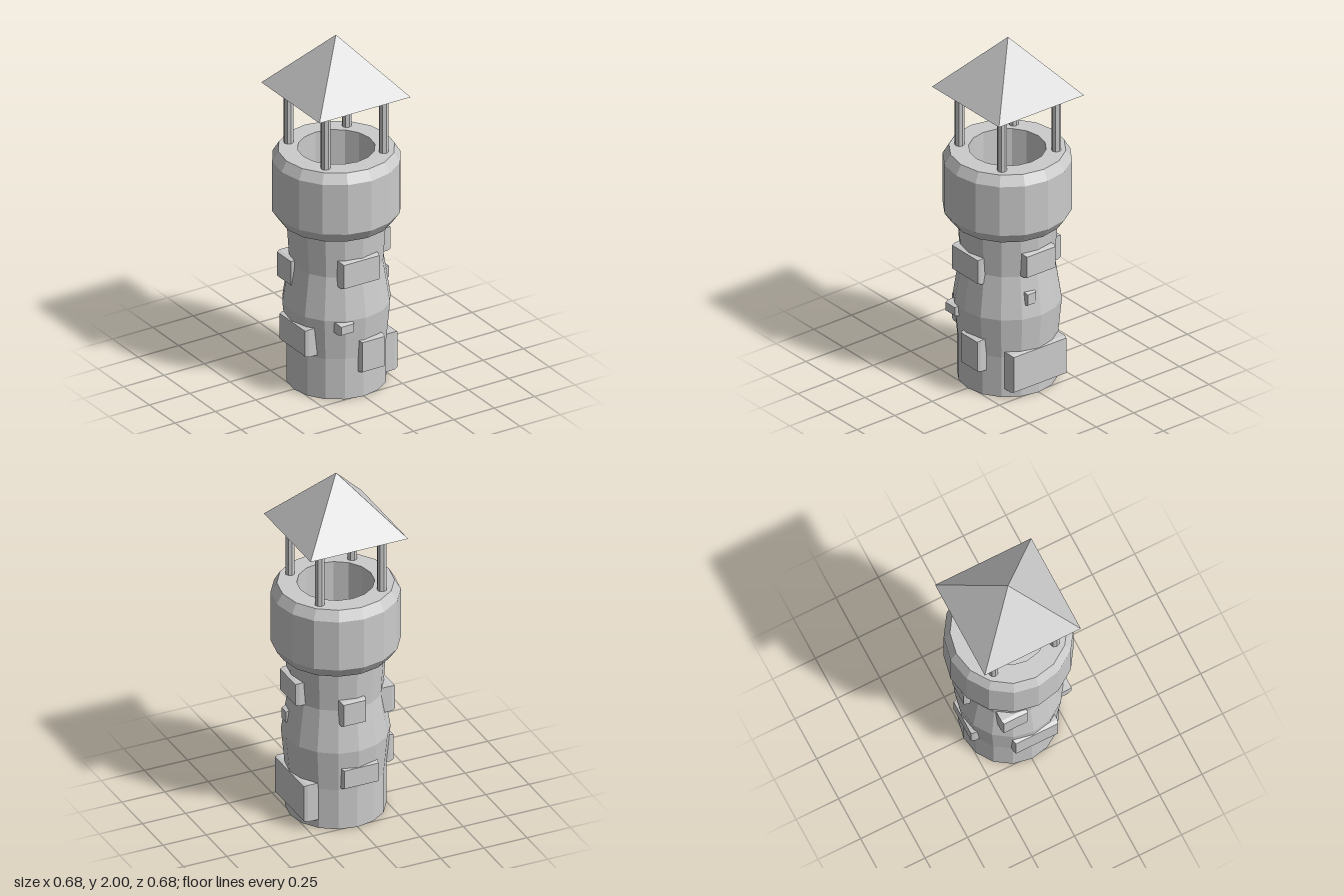
import * as THREE from 'three';

const material = new THREE.MeshStandardMaterial({ color: 0xcccccc, flatShading: true });

function add(parent, name, geometry) {
  const mesh = new THREE.Mesh(geometry, material);
  mesh.name = name;
  parent.add(mesh);
  return mesh;
}

// Box whose outer (+z) face is slightly smaller than its wall side
function stoneGeometry(width, height, depth) {
  const geometry = new THREE.BoxGeometry(width, height, depth, 1, 1, 2);
  const p = geometry.attributes.position;
  for (let i = 0; i < p.count; i++) {
    const z = p.getZ(i);
    if (z > 0.001) {
      p.setX(i, p.getX(i) - Math.sign(p.getX(i)) * 0.006);
      p.setY(i, p.getY(i) - Math.sign(p.getY(i)) * 0.006);
    } else if (Math.abs(z) < 0.001) {
      p.setZ(i, depth / 2 - 0.02);
    }
  }
  return geometry;
}

export function createModel() {
  const model = new THREE.Group();
  model.name = 'watchtower';

  // Tower wall, overhanging head and hollow top in one 16-sided profile
  const profile = [
    [0, 0], [0.265, 0], [0.265, 0.235], [0.287, 0.467], [0.25, 0.705], [0.265, 0.94],
    [0.3, 0.94], [0.341, 1.0], [0.341, 1.29], [0.308, 1.345], [0.204, 1.345], [0.204, 1.0], [0, 1.0],
  ].map(([r, y]) => new THREE.Vector2(r, y));
  add(model, 'tower', new THREE.LatheGeometry(profile, 16));

  // Four posts carrying the roof
  const posts = new THREE.Group();
  posts.name = 'roofPosts';
  model.add(posts);
  for (const x of [-0.18, 0.18]) {
    for (const z of [-0.18, 0.18]) {
      add(posts, 'post', new THREE.CylinderGeometry(0.026, 0.026, 0.36, 8)).position.set(x, 1.51, z - 0.003);
    }
  }

  // Pyramid roof
  const roof = add(model, 'roof', new THREE.ConeGeometry(0.4, 0.322, 4));
  roof.rotation.y = Math.PI / 4;
  roof.position.set(0, 1.839, -0.004);

  // Protruding stones: turn about y, sideways range, height range, distance of outer face
  const stones = new THREE.Group();
  stones.name = 'wallStones';
  model.add(stones);
  const front = 0, left = Math.PI / 2, back = Math.PI, right = -Math.PI / 2;
  const list = [
    [front, -0.13, 0.1, 0.655, 0.805, 0.27],
    [front, -0.16, -0.07, 0.4, 0.46, 0.29],
    [front, -0.03, 0.12, 0.15, 0.335, 0.29],
    [left, -0.175, 0.185, 0.05, 0.27, 0.27],
    [left, -0.095, 0.105, 0.71, 0.845, 0.28],
    [left, -0.085, -0.02, 0.54, 0.615, 0.275],
    [back, -0.095, 0.045, 0.63, 0.77, 0.285],
    [back, -0.09, 0.12, 0.25, 0.37, 0.28],
    [right, -0.17, -0.02, 0.59, 0.74, 0.265],
    [right, -0.11, 0.15, 0.25, 0.41, 0.285],
  ];
  for (const [turn, s0, s1, y0, y1, outer] of list) {
    const depth = outer - 0.16;
    const pivot = new THREE.Group();
    pivot.name = 'stoneMount';
    pivot.rotation.y = turn;
    const stone = add(pivot, 'stone', stoneGeometry(s1 - s0, y1 - y0, depth));
    stone.position.set((s0 + s1) / 2, (y0 + y1) / 2, outer - depth / 2);
    stones.add(pivot);
  }

  return model;
}
